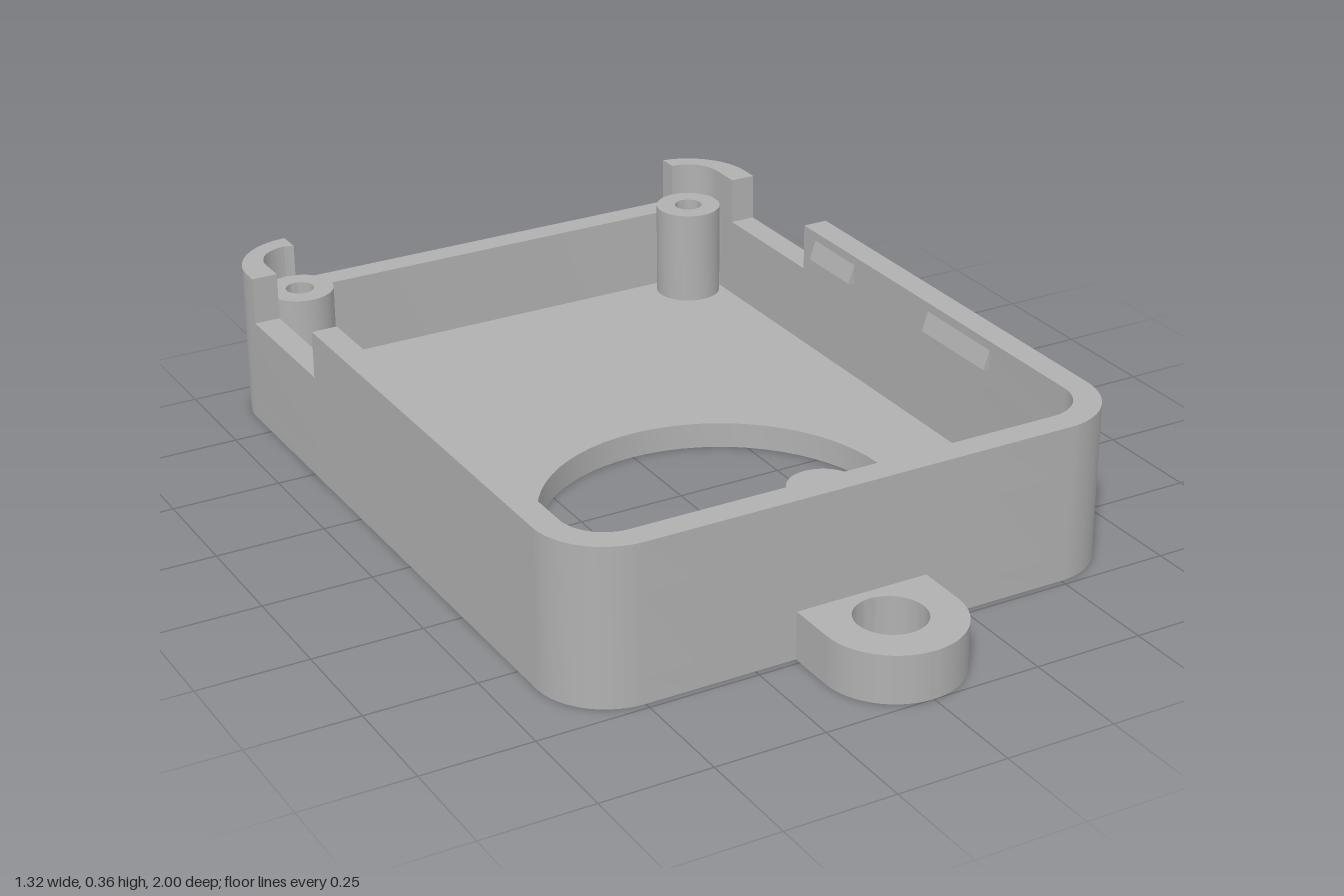
import * as THREE from 'three';
import { toCreasedNormals } from 'three/addons/utils/BufferGeometryUtils.js';

const H = 0.36, FLOOR = 0.06, LOW = 0.25; // rim height, floor thickness, notch height
const FRONT = -0.575, BACK = 0.84, CX = 0.5; // corner centres (plan y = -z)
const RO = 0.16, RI = 0.1; // outer and inner corner radii
const P = Math.PI;

// Rounded rectangle through the four corner centres
function roundedPlan(path, r) {
  path.absarc(CX, FRONT, r, -P / 2, 0, false);
  path.absarc(CX, BACK, r, 0, P / 2, false);
  path.absarc(-CX, BACK, r, P / 2, P, false);
  path.absarc(-CX, FRONT, r, P, 1.5 * P, false);
  path.closePath();
  return path;
}

function circleHole(x, y, r) {
  return new THREE.Path().absarc(x, y, r, 0, 2 * P, true);
}

export function createModel() {
  const group = new THREE.Group();
  const plastic = new THREE.MeshStandardMaterial({ color: 0xb0b0b0 });
  plastic.name = 'grey plastic';

  const add = (name, geometry) => {
    const mesh = new THREE.Mesh(toCreasedNormals(geometry, 0.5), plastic);
    mesh.name = name;
    group.add(mesh);
    return mesh;
  };
  // Extrude a plan upward from y0 to y1
  const slab = (name, shape, y0, y1) => {
    const g = new THREE.ExtrudeGeometry(shape, { depth: y1 - y0, bevelEnabled: false, curveSegments: 32 });
    g.rotateX(-P / 2).translate(0, y0, 0);
    return add(name, g);
  };

  // Floor with large round opening
  const floor = roundedPlan(new THREE.Shape(), RO);
  floor.holes.push(circleHole(0, -0.18, 0.4));
  slab('floor', floor, 0, FLOOR);

  // Continuous lower wall
  const wall = roundedPlan(new THREE.Shape(), RO);
  wall.holes.push(roundedPlan(new THREE.Path(), RI));
  slab('lowerWall', wall, FLOOR, LOW);

  // Upper wall around the front, ending at the side notches
  const rim = new THREE.Shape();
  rim.moveTo(-0.6, 0.475);
  rim.lineTo(-0.66, 0.475);
  rim.absarc(-CX, FRONT, RO, P, 1.5 * P, false);
  rim.absarc(CX, FRONT, RO, -P / 2, 0, false);
  rim.lineTo(0.66, 0.46);
  rim.lineTo(0.6, 0.46);
  rim.absarc(CX, FRONT, RI, 0, -P / 2, true);
  rim.absarc(-CX, FRONT, RI, -P / 2, -P, true);
  rim.closePath();
  slab('frontUpperWall', rim, LOW, H);

  // Raised back corners, hollowed around the screw posts
  const leftCorner = new THREE.Shape();
  leftCorner.moveTo(0.6, 0.795);
  leftCorner.lineTo(0.66, 0.795);
  leftCorner.absarc(CX, BACK, RO, 0, Math.acos(0.02 / RO), false);
  leftCorner.lineTo(0.52, 0.953);
  leftCorner.absarc(0.52, 0.873, 0.08, P / 2, 0, true);
  leftCorner.closePath();
  slab('leftBackCorner', leftCorner, LOW, H);

  const rightCorner = new THREE.Shape();
  rightCorner.moveTo(-0.5, 0.945);
  rightCorner.lineTo(-0.5, 1);
  rightCorner.absarc(-CX, BACK, RO, P / 2, P, false);
  rightCorner.lineTo(-0.66, 0.81);
  rightCorner.lineTo(-0.6, 0.81);
  rightCorner.absarc(-0.52, 0.873, 0.08, P, P / 2, true);
  rightCorner.closePath();
  slab('rightBackCorner', rightCorner, LOW, H);

  // Screw posts with blind holes
  const profile = [[0, 0], [0.078, 0], [0.078, 0.285], [0.033, 0.285], [0.033, 0.09], [0, 0.09]]
    .map(([x, y]) => new THREE.Vector2(x, y));
  for (const [name, x, z] of [
    ['frontPost', 0, 0.585], ['leftBackPost', 0.52, -0.873], ['rightBackPost', -0.52, -0.873],
  ]) {
    add(name, new THREE.LatheGeometry(profile, 40)).position.set(x, 0, z);
  }

  // Wedge-shaped snap ridges inside the side walls
  for (const side of [-1, 1]) {
    for (const [z0, z1] of [[-0.41, -0.24], [0.065, 0.305]]) {
      const wedge = new THREE.Shape([
        new THREE.Vector2(side * 0.602, 0.29),
        new THREE.Vector2(side * 0.585, 0.295),
        new THREE.Vector2(side * 0.602, 0.345),
      ]);
      const g = new THREE.ExtrudeGeometry(wedge, { depth: z1 - z0, bevelEnabled: false });
      add('snapRidge', g.translate(0, 0, z0));
    }
  }

  // Mounting lug at the front
  const lug = new THREE.Shape();
  lug.moveTo(0.155, -0.735);
  lug.lineTo(-0.155, -0.735);
  lug.absarc(0, -0.845, 0.155, P, 2 * P, false);
  lug.closePath();
  lug.holes.push(circleHole(0, -0.84, 0.078));
  slab('mountingLug', lug, 0, 0.11);

  return group;
}
